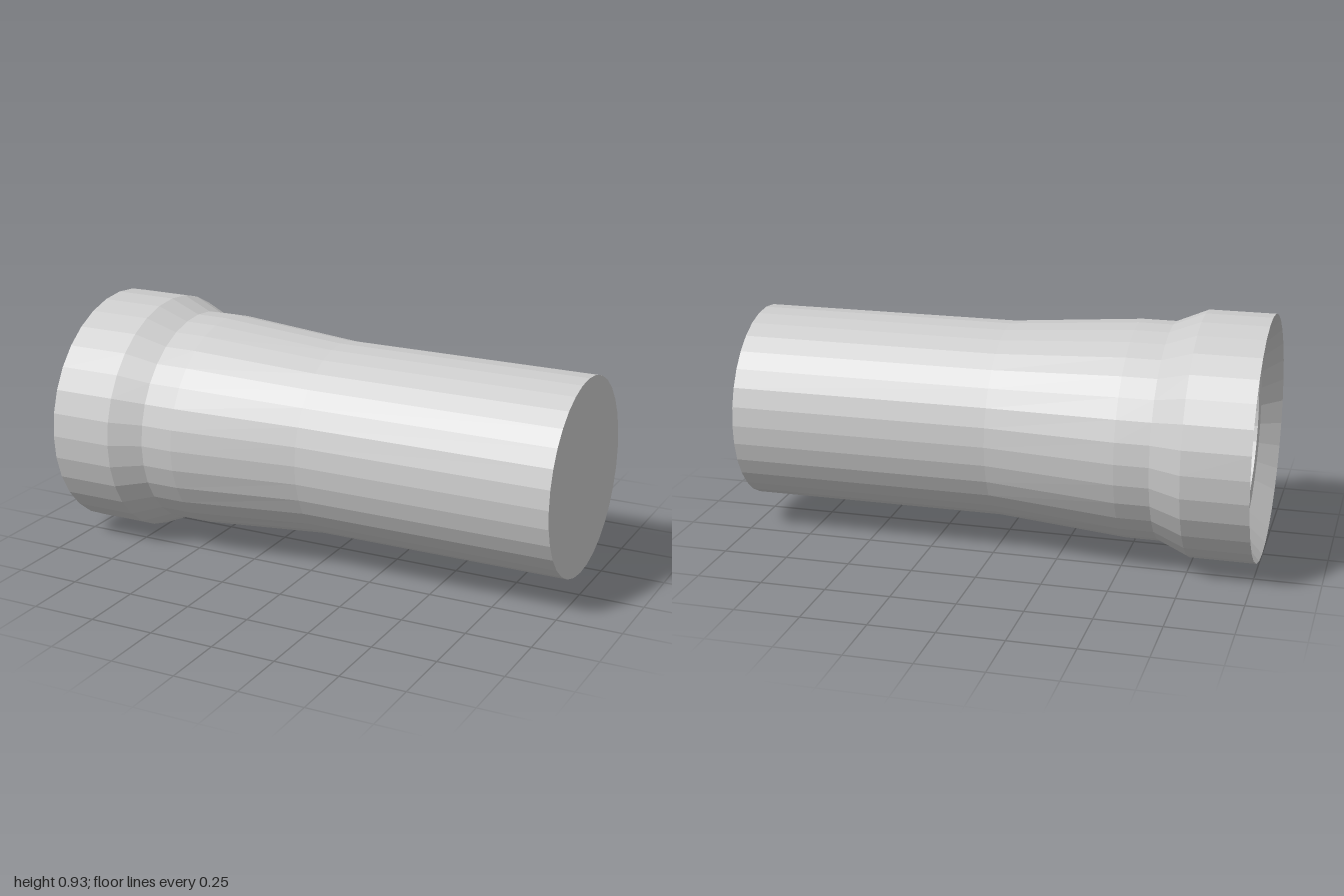
import * as THREE from 'three';

const SIDES = 32;
const AXIS_Y = 0.4675; // height of the pipe's axis
const SQUASH = 0.944;  // the socket end is slightly oval

// Faceted turned part along x; profile entries are [x, radius].
// Everything left of the taper's end (x < 0) is squashed in height.
function turned(name, profile, material) {
  const points = profile.map(([x, r]) => new THREE.Vector2(r, x));
  const lathe = new THREE.LatheGeometry(points, SIDES);
  lathe.rotateZ(-Math.PI / 2);
  const pos = lathe.attributes.position;
  for (let i = 0; i < pos.count; i++) {
    if (pos.getX(i) < -0.01) pos.setY(i, pos.getY(i) * SQUASH);
  }
  const geometry = lathe.toNonIndexed();
  geometry.computeVertexNormals();
  const mesh = new THREE.Mesh(geometry, material);
  mesh.name = name;
  mesh.position.y = AXIS_Y;
  return mesh;
}

export function createModel() {
  const material = new THREE.MeshStandardMaterial({ color: 0xcccccc, flatShading: true });
  const group = new THREE.Group();
  group.name = 'pipe';

  // Wide collar with its shoulder
  group.add(turned('collar', [[-1, 0.495], [-0.75, 0.495], [-0.63, 0.441]], material));
  // Neck tapering from oval to the round barrel
  group.add(turned('taperedNeck', [[-0.63, 0.441], [-0.5, 0.441], [0, 0.378]], material));
  // Straight round barrel with a closed end
  group.add(turned('barrel', [[0, 0.378], [1, 0.378], [1, 0]], material));
  // Funnel-shaped mouth and the flat ledge inside it
  group.add(turned('mouth', [[-0.925, 0.33], [-0.925, 0.41], [-1, 0.495]], material));
  // Blind bore behind the ledge
  group.add(turned('bore', [[-0.75, 0], [-0.75, 0.33], [-0.925, 0.33]], material));

  return group;
}
